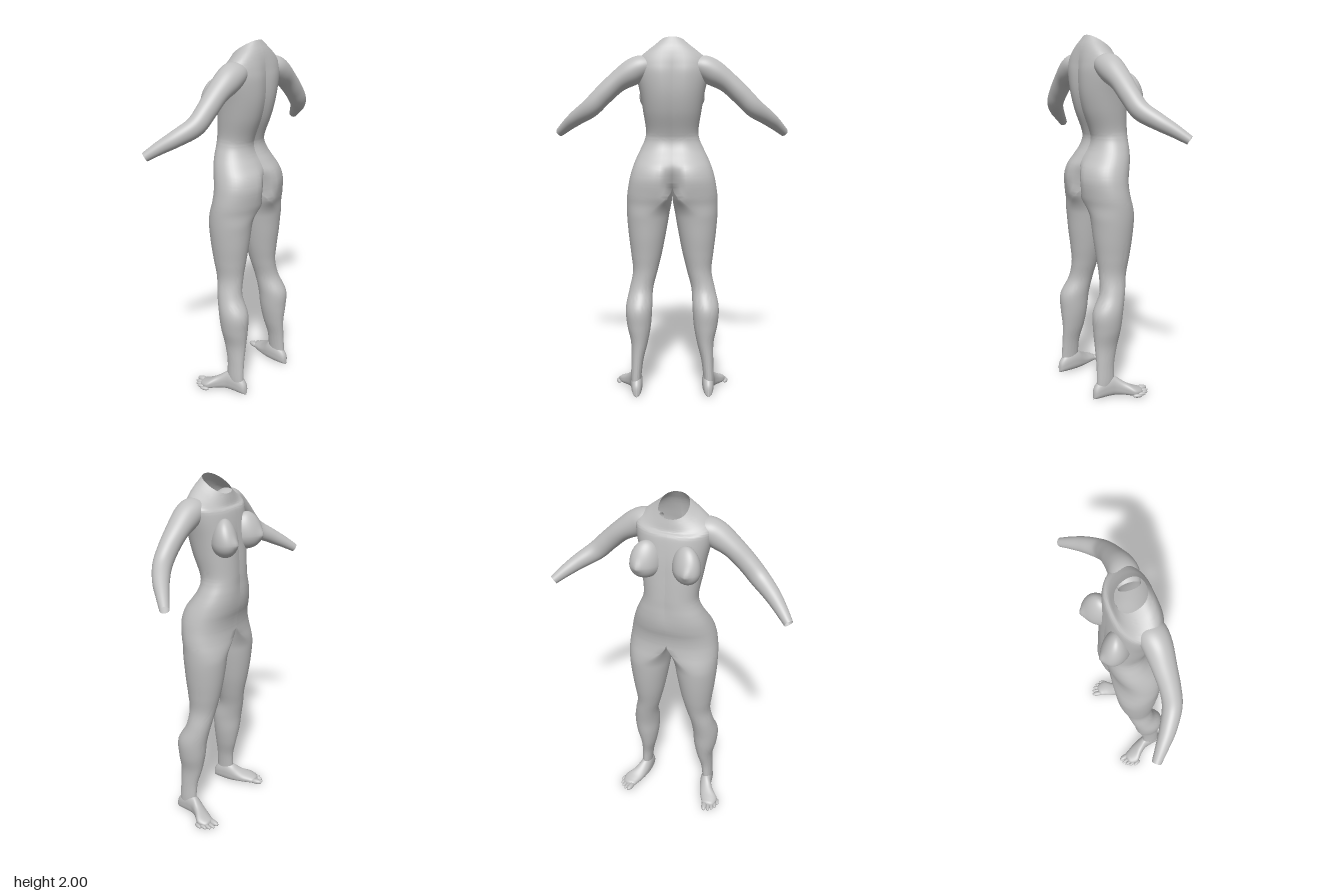
import * as THREE from 'three';
import { toCreasedNormals } from 'three/addons/utils/BufferGeometryUtils.js';

const SEG = 48;
const { smoothstep, lerp } = THREE.MathUtils;

// Catmull-Rom through every column of a section table
function spline(rows, steps) {
  const out = [];
  const at = (i) => rows[Math.min(rows.length - 1, Math.max(0, i))];
  for (let i = 0; i < rows.length - 1; i++) {
    for (let s = 0; s < steps; s++) {
      const t = s / steps;
      out.push(rows[i].map((b, c) => {
        const a = at(i - 1)[c], d = at(i + 1)[c], e = at(i + 2)[c];
        return b + 0.5 * t * (d - a + t * (2 * a - 5 * b + 4 * d - e + t * (3 * (b - d) + e - a)));
      }));
    }
  }
  out.push(rows[rows.length - 1]);
  return out;
}

// Skin a stack of closed rings; skip(i, j) leaves a quad open
function skin(rings, skip = () => false) {
  const index = [];
  for (let i = 0; i < rings.length - 1; i++) {
    for (let j = 0; j < SEG; j++) {
      if (skip(i, j)) continue;
      const a = i * SEG + j, b = i * SEG + (j + 1) % SEG, c = a + SEG, d = b + SEG;
      index.push(a, c, b, b, c, d);
    }
  }
  const g = new THREE.BufferGeometry();
  g.setAttribute('position', new THREE.Float32BufferAttribute(rings.flat(2), 3));
  g.setIndex(index);
  g.computeVertexNormals();
  return g;
}

const around = (fn) => Array.from({ length: SEG }, (_, j) => {
  const t = j / SEG * Math.PI * 2;
  return fn(Math.cos(t), Math.sin(t));
});

// One half of the trunk running down into its leg
function halfBody() {
  // y, outer x, front z, back z, inner x
  const leg = [
    [0.05, 0.235, 0.06, 0.16, 0.18], [0.1, 0.238, 0.05, 0.158, 0.178],
    [0.2, 0.235, 0.045, 0.155, 0.165], [0.3, 0.237, 0.02, 0.157, 0.14],
    [0.4, 0.258, 0, 0.165, 0.122], [0.5, 0.265, -0.012, 0.165, 0.115],
    [0.6, 0.245, -0.032, 0.115, 0.11], [0.7, 0.225, -0.052, 0.105, 0.085],
    [0.8, 0.234, -0.075, 0.115, 0.06], [0.9, 0.246, -0.092, 0.128, 0.04],
    [1.0, 0.255, -0.103, 0.138, 0.022], [1.08, 0.257, -0.106, 0.15, 0.01],
  ];
  // y, outer x, front z, back z; the inner edge meets the midline
  const trunk = [
    [1.14, 0.254, -0.102, 0.17], [1.2, 0.245, -0.1, 0.183], [1.25, 0.235, -0.105, 0.183],
    [1.3, 0.22, -0.117, 0.168], [1.35, 0.2, -0.124, 0.132], [1.4, 0.176, -0.126, 0.1],
    [1.45, 0.154, -0.125, 0.088], [1.5, 0.147, -0.124, 0.1], [1.6, 0.161, -0.118, 0.138],
    [1.7, 0.177, -0.108, 0.16], [1.8, 0.198, -0.09, 0.164], [1.86, 0.203, -0.075, 0.155],
    [1.91, 0.188, -0.065, 0.142], [1.95, 0.15, -0.058, 0.128], [1.98, 0.108, -0.052, 0.112],
    [2.0, 0.078, -0.045, 0.1],
  ].map((r) => [...r, 0]);
  const rows = spline([...leg, ...trunk], 6);

  const rings = rows.map(([y, xo, zf, zb, xi]) => {
    const blend = smoothstep(y, 1.02, 1.2);
    const waist = smoothstep(y, 1.3, 1.45);
    // Midline grooves: seat and spine behind, belly in front
    const back = 0.075 * Math.exp(-(((y - 1.2) / 0.1) ** 2)) + 0.015 * waist * (1 - smoothstep(y, 1.8, 1.95));
    const front = 0.008 * waist * (1 - smoothstep(y, 1.6, 1.85));
    // The neck opening slopes down towards the chest
    const tilt = 0.6 * smoothstep(y, 1.82, 2);
    return around((c, s) => {
      const trunkX = xo * Math.pow(Math.max(0, c), 0.88);
      const legX = xi + (xo - xi) * (1 + c) / 2;
      const x = Math.max(0, lerp(legX, trunkX, blend));
      const bulge = Math.sign(s) * Math.pow(Math.abs(s), 1 - 0.1 * blend);
      const near = blend * Math.max(0, 1 - x / 0.085) ** 2;
      const z = (zf + zb) / 2 + (zb - zf) / 2 * bulge - near * s * (s > 0 ? back : front);
      return [x, y - tilt * (zb - z), z];
    });
  });
  const open = (i, j) => rows[i][0] > 1.195 && j >= SEG / 4 && j < SEG * 3 / 4;
  return toCreasedNormals(skin(rings, open), 0.9);
}

// Arm, as centre x, y, z, then radius across and radius up
function arm() {
  const rows = spline([
    [0.09, 1.85, 0.06, 0.055, 0.035], [0.16, 1.842, 0.066, 0.072, 0.064],
    [0.22, 1.813, 0.07, 0.07, 0.07], [0.3, 1.762, 0.068, 0.06, 0.057],
    [0.38, 1.69, 0.066, 0.052, 0.054], [0.45, 1.623, 0.052, 0.048, 0.052],
    [0.53, 1.572, 0, 0.042, 0.043], [0.59, 1.53, -0.053, 0.033, 0.034],
    [0.645, 1.486, -0.105, 0.024, 0.024],
  ], 6);
  const centres = rows.map((r) => new THREE.Vector3(r[0], r[1], r[2]));
  return skin(rows.map((r, i) => {
    const t = centres[Math.min(i + 1, rows.length - 1)].clone().sub(centres[Math.max(i - 1, 0)]).normalize();
    const u = new THREE.Vector3(0, 0, 1).addScaledVector(t, -t.z).normalize();
    const v = t.clone().cross(u);
    return around((c, s) => centres[i].clone().addScaledVector(u, r[3] * c).addScaledVector(v, -r[4] * s).toArray());
  }));
}

// Foot, as z, inner x, outer x, top y
function foot() {
  const rows = spline([
    [0.182, 0.203, 0.207, 0.04], [0.172, 0.185, 0.225, 0.07],
    [0.14, 0.175, 0.235, 0.105], [0.09, 0.172, 0.242, 0.125],
    [0.05, 0.176, 0.25, 0.115], [0.01, 0.187, 0.275, 0.085],
    [-0.03, 0.202, 0.312, 0.06], [-0.065, 0.22, 0.312, 0.045],
    [-0.09, 0.234, 0.298, 0.034], [-0.098, 0.263, 0.267, 0.015],
  ], 5);
  return skin(rows.map(([z, xi, xo, top]) => around((c, s) => [
    (xi + xo) / 2 + (xo - xi) / 2 * c,
    top / 2 * (1 + Math.sign(s) * Math.pow(Math.abs(s), s < 0 ? 0.6 : 1)),
    z,
  ])));
}

// Bust: a sphere with a long upper slope and a tapered front
function bust() {
  const g = new THREE.SphereGeometry(1, 40, 28);
  const p = g.attributes.position;
  for (let i = 0; i < p.count; i++) {
    const x = p.getX(i), y = p.getY(i), z = p.getZ(i);
    const depth = 0.084 + 0.012 * Math.max(0, -z) ** 30;
    p.setXYZ(i, x * 0.077 - z * 0.022, y * (y > 0 ? 0.12 : 0.08), z * depth * (1 - 0.25 * Math.max(0, y)));
  }
  g.computeVertexNormals();
  return g;
}

export function createModel() {
  const model = new THREE.Group();
  model.name = 'mannequin';
  const grey = new THREE.MeshStandardMaterial({ color: 0xc0c0c0, side: THREE.DoubleSide });
  grey.name = 'plain grey';

  const half = new THREE.Group();
  const add = (name, geometry) => {
    const mesh = new THREE.Mesh(geometry, grey);
    mesh.name = name;
    half.add(mesh);
    return mesh;
  };
  add('trunkAndLeg', halfBody());
  add('arm', arm());
  add('foot', foot());
  add('bust', bust()).position.set(0.106, 1.685, -0.088);

  // Toes fan along the slanted front of the foot, the first one biggest
  for (let i = 0; i < 5; i++) {
    const width = i === 0 ? 0.017 : 0.0115;
    const toe = add('toe' + (i + 1), new THREE.SphereGeometry(1, 16, 12));
    toe.scale.set(width, width * 0.95, 0.038 - i * 0.0028);
    toe.position.set(0.251 + 0.027 * i - 0.0025 * i * i, width * 0.95, -0.106 + 0.004 * i * i);
    toe.rotation.y = -0.2 - i * 0.04;
  }

  // Mirror the finished half
  half.name = 'leftHalf';
  const other = half.clone();
  other.name = 'rightHalf';
  other.scale.x = -1;
  model.add(half, other);
  return model;
}
